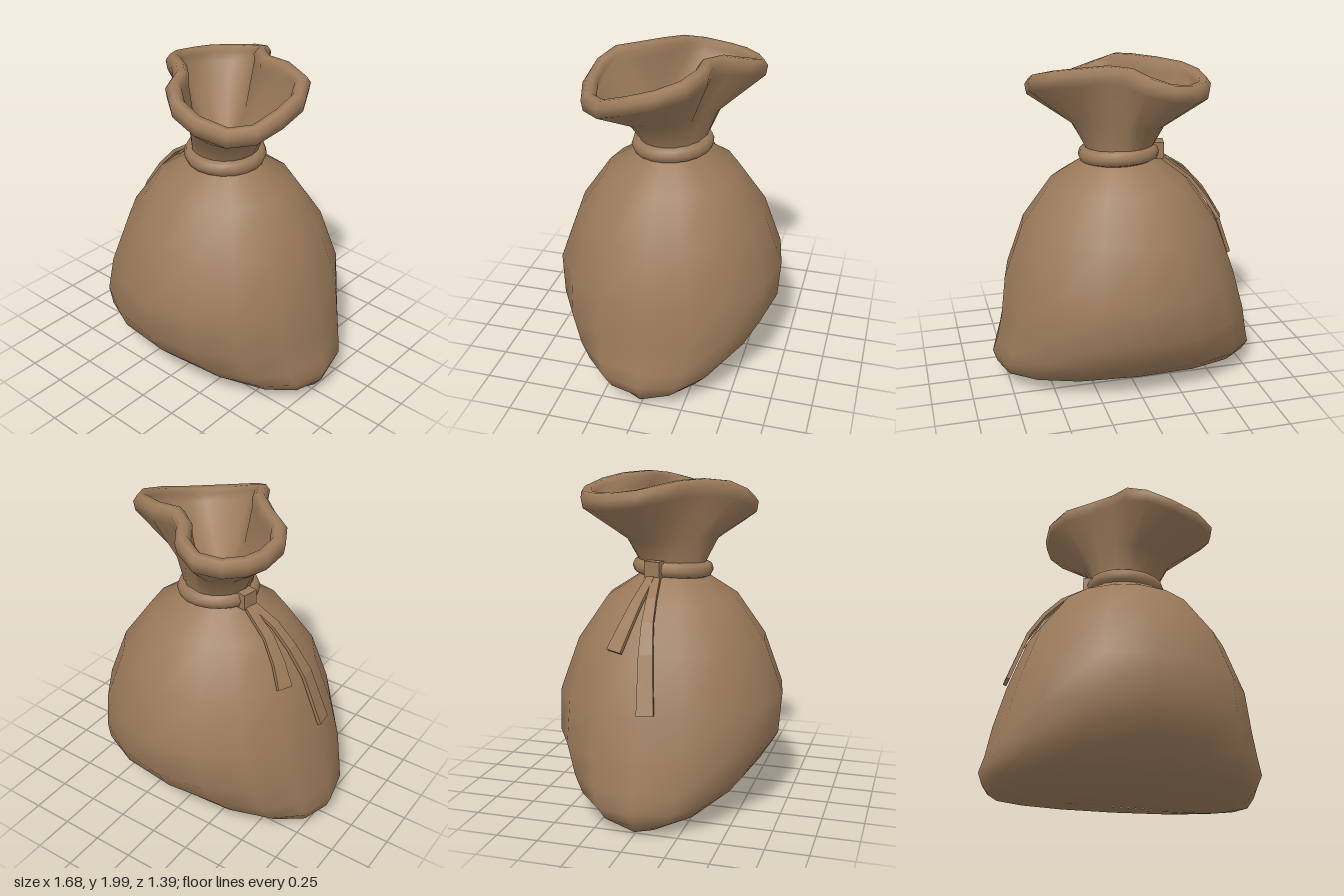
import * as THREE from 'three';

const cloth = new THREE.MeshStandardMaterial({ color: 0x9b7a5a });
cloth.name = 'brown cloth';

// Skin over closed rings of [x, y, z] points, listed bottom to top
function loft(rings) {
  const n = rings[0].length, index = [];
  for (let i = 0; i < rings.length - 1; i++) {
    for (let j = 0; j < n; j++) {
      const k = (j + 1) % n;
      const a = i * n + j, b = i * n + k, c = a + n, d = b + n;
      index.push(a, c, b, b, c, d);
    }
  }
  const g = new THREE.BufferGeometry();
  g.setAttribute('position', new THREE.Float32BufferAttribute(rings.flat(2), 3));
  g.setIndex(index);
  g.computeVertexNormals();
  return g;
}

// Rounded ring; power above 2 makes it squarer, tilt lifts the +x end
function oval(cx, y, a, b, power = 2, tilt = 0, n = 16) {
  const bend = (v) => Math.sign(v) * Math.abs(v) ** (2 / power);
  return Array.from({ length: n }, (_, j) => {
    const t = (j / n) * Math.PI * 2;
    return [cx + a * bend(Math.cos(t)), y + tilt * Math.cos(t), b * bend(Math.sin(t))];
  });
}

// Flat strap along a path of [x, y, z, width]
function strap(path) {
  const pts = path.map((p) => new THREE.Vector3(p[0], p[1], p[2]));
  const rings = pts.map((p, i) => {
    const along = pts[Math.min(i + 1, pts.length - 1)].clone().sub(pts[Math.max(i - 1, 0)]).normalize();
    const out = new THREE.Vector3(p.x, 0.25, p.z).normalize();
    const side = along.clone().cross(out).normalize();
    out.crossVectors(side, along).normalize();
    return [[1, 1], [-1, 1], [-1, -1], [1, -1]].map(([s, o]) =>
      p.clone().addScaledVector(side, s * path[i][3] / 2).addScaledVector(out, o * 0.011).toArray());
  });
  // close both ends
  const mid = (r) => r.map(() => [0, 1, 2].map((k) => r.reduce((s, q) => s + q[k] / 4, 0)));
  rings.unshift(mid(rings[0]));
  rings.push(mid(rings[rings.length - 1]));
  const g = loft(rings).toNonIndexed();
  g.computeVertexNormals();
  return g;
}

export function createModel() {
  const model = new THREE.Group();
  model.name = 'sack';
  const add = (name, geometry) => {
    const m = new THREE.Mesh(geometry, cloth);
    m.name = name;
    model.add(m);
    return m;
  };

  // Body: round in the middle, drawn out to two corners along the bottom fold
  const body = [
    // centre x, y, half width, half depth, power, tilt
    [0, 0.005, 0.3, 0.001], [0, 0.01, 0.6, 0.06], [0, 0.035, 0.77, 0.23, 2.2, 0.015],
    [0, 0.095, 0.815, 0.4, 2.4, 0.018], [0, 0.17, 0.84, 0.49, 2.4, 0.02], [0, 0.26, 0.81, 0.575, 2.3, 0.01],
    [0, 0.43, 0.775, 0.68, 2.1], [0.02, 0.68, 0.725, 0.697], [0.02, 1.0, 0.61, 0.58],
    [0.02, 1.26, 0.425, 0.4], [0.02, 1.39, 0.23, 0.2], [0.02, 1.44, 0.2, 0.19],
  ];
  add('body', loft(body.map((r) => oval(...r))));

  // Wavy mouth line
  const rim = [
    [-0.17, 1.88, -0.475], [-0.04, 1.92, -0.42], [0.03, 1.95, -0.31], [0.14, 1.955, -0.225],
    [0.28, 1.95, -0.23], [0.45, 1.93, -0.165], [0.52, 1.89, -0.03], [0.515, 1.84, 0.13],
    [0.475, 1.79, 0.285], [0.38, 1.78, 0.39], [0.21, 1.815, 0.44], [0.055, 1.87, 0.43],
    [-0.045, 1.92, 0.36], [-0.11, 1.935, 0.23], [-0.235, 1.93, 0.115], [-0.37, 1.91, 0.025],
    [-0.43, 1.885, -0.085], [-0.425, 1.865, -0.235], [-0.385, 1.86, -0.335], [-0.295, 1.86, -0.425],
  ];

  // Ring between a circle (height y, radius r) and the mouth line, by t
  const neckRing = (y, r, t) => rim.map(([x, ry, z]) => {
    const a = Math.atan2(z + 0.02, x - 0.03);
    return [
      THREE.MathUtils.lerp(0.02 + r * Math.cos(a), x, t),
      THREE.MathUtils.lerp(y, ry, t),
      THREE.MathUtils.lerp(r * Math.sin(a), z, t),
    ];
  });
  // Mouth line pushed outward and raised
  const rimRing = (out, up) => rim.map(([x, y, z], i) => {
    const p = rim.at(i - 1), q = rim[(i + 1) % rim.length];
    const dx = q[0] - p[0], dz = q[2] - p[2], l = Math.hypot(dx, dz);
    return [x + out * dz / l, y + up, z - out * dx / l];
  });

  // Neck: up the outside, over the thick hem, then down the inner funnel
  add('neck', loft([
    neckRing(1.4, 0.19, 0), neckRing(1.47, 0.205, 0), neckRing(1.53, 0.21, 0.25),
    rimRing(0.036, -0.055), rimRing(0.046, 0.005), rimRing(0.02, 0.042),
    rimRing(-0.02, 0.042), rimRing(-0.045, 0.01), rimRing(-0.042, -0.04),
    neckRing(1.53, 0.17, 0.22), neckRing(1.42, 0.003, 0),
  ]));

  // Cord round the waist
  const cord = add('cord', new THREE.TorusGeometry(0.205, 0.044, 8, 20).rotateX(Math.PI / 2).scale(1, 1.1, 1));
  cord.position.set(0.02, 1.43, 0);
  cord.rotation.set(0.05, 0, -0.04);

  // Knot and the two loose ends
  const knot = add('knot', new THREE.BoxGeometry(0.07, 0.1, 0.1));
  knot.position.set(-0.21, 1.445, -0.05);
  knot.rotation.y = -0.2;
  add('longStrap', strap([
    [-0.22, 1.41, -0.03, 0.05], [-0.39, 1.3, -0.01, 0.06], [-0.5, 1.18, 0, 0.07],
    [-0.6, 1.02, 0.02, 0.085], [-0.715, 0.7, 0.05, 0.1],
  ]));
  add('shortStrap', strap([
    [-0.22, 1.41, -0.06, 0.05], [-0.4, 1.27, -0.1, 0.07], [-0.5, 1.14, -0.14, 0.085],
    [-0.57, 1.02, -0.18, 0.1],
  ]));
  return model;
}
